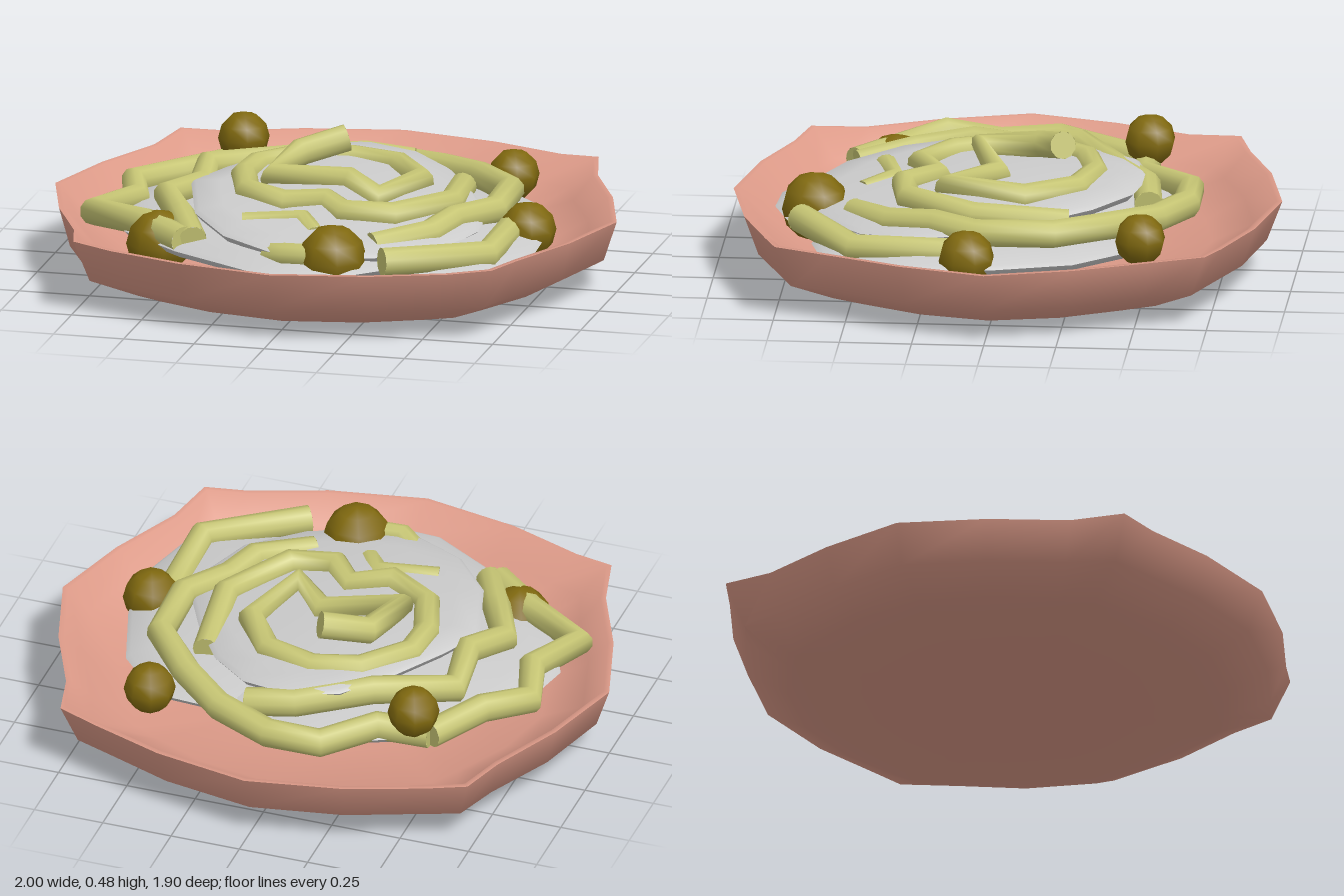
import * as THREE from 'three';
import { toCreasedNormals } from 'three/addons/utils/BufferGeometryUtils.js';

const mat = (color, side = THREE.FrontSide) => new THREE.MeshStandardMaterial({ color, side });
const PLATE = mat(0xdc9a88), SAUCE = mat(0xcccccc), OLIVE = mat(0x80690f);
const NOODLE = mat(0xc6c574, THREE.DoubleSide);

// Closed skin through rings of equal length, running from the bottom centre out, up and back in.
function loft(rings) {
  const n = rings[0].length, index = [];
  for (let r = 0; r < rings.length - 1; r++) {
    for (let j = 0; j < n; j++) {
      const a = r * n + j, b = r * n + (j + 1) % n;
      index.push(a, a + n, b, b, a + n, b + n);
    }
  }
  const g = new THREE.BufferGeometry();
  g.setAttribute('position', new THREE.Float32BufferAttribute(rings.flat(2), 3));
  g.setIndex(index);
  return toCreasedNormals(g, 1.0);
}

function add(group, name, geometry, material) {
  const m = new THREE.Mesh(geometry, material);
  m.name = name;
  group.add(m);
  return m;
}

// Plate outline: one quadrant, mirrored round, with pulled corners.
function plateOutline() {
  const q = [[1, 0], [0.91, 0.3], [0.79, 0.56], [0.745, 0.745], [0.6, 0.79], [0.34, 0.885], [0, 0.95]];
  return [
    ...q,
    ...q.slice(0, 6).reverse().map(([x, z]) => [-x, z]),
    ...q.slice(1).map(([x, z]) => [-x, -z]),
    ...q.slice(1, 6).reverse().map(([x, z]) => [x, -z]),
  ];
}

function plateGeometry() {
  const outline = plateOutline();
  // scale, height, share of the pulled corners
  const profile = [[0, 0, 0], [0.44, 0, 0], [0.8, 0.03, 0.4], [0.95, 0.11, 0.8], [1, 0.25, 1],
    [0.98, 0.25, 1], [0.9, 0.17, 0.8], [0.76, 0.1, 0.4], [0.45, 0.07, 0], [0, 0.07, 0]];
  return loft(profile.map(([s, y, w]) => outline.map(([x, z]) => {
    const a = Math.atan2(z / 0.95, x);
    const corner = Math.abs(x * z) > 0.5 && y > 0.2 ? 0.012 : 0;
    return [
      s * THREE.MathUtils.lerp(0.97 * Math.cos(a), x, w) * (w < 1 ? 1.01 : 1),
      y + corner,
      s * THREE.MathUtils.lerp(0.92 * Math.sin(a), z, w),
    ];
  })));
}

// Flat tilted mound of sauce around a centre, edge given as x, z points.
function moundGeometry(edge, [cx, cy, cz], rise, tiltX, tiltZ) {
  const profile = [[0, -0.06], [0.8, -0.05], [0.96, -0.025], [1, 0], [0.97, 0.012],
    [0.8, rise * 0.5], [0.45, rise * 0.9], [0, rise]];
  return loft(profile.map(([s, y]) => edge.map(([x, z]) => {
    const dx = s * (x - cx), dz = s * (z - cz);
    return [cx + dx, cy + y + dx * tiltX + dz * tiltZ, cz + dz];
  })));
}

// Straight-sided path whose corners are kept as tube rings.
class Polyline extends THREE.Curve {
  constructor(points) {
    super();
    this.points = points.map(p => new THREE.Vector3(...p));
  }
  getPoint(t, target = new THREE.Vector3()) {
    const f = t * (this.points.length - 1);
    const i = Math.min(Math.floor(f + 1e-6), this.points.length - 2);
    return target.lerpVectors(this.points[i], this.points[i + 1], f - i);
  }
  getPointAt(t, target) { return this.getPoint(t, target); }
  getTangentAt(t, target = new THREE.Vector3()) {
    const p = this.points, i = Math.round(t * (p.length - 1));
    const dir = k => p[k + 1].clone().sub(p[k]).normalize();
    const before = dir(Math.max(i - 1, 0)), after = dir(Math.min(i, p.length - 2));
    return target.copy(before).add(after).normalize();
  }
}

function addNoodle(parent, name, points, radius = 0.05) {
  const group = new THREE.Group();
  group.name = name;
  const path = new Polyline(points);
  add(group, name + 'Strand', new THREE.TubeGeometry(path, points.length - 1, radius, 10), NOODLE);
  for (const t of [0, 1]) {
    const cap = add(group, name + 'End', new THREE.CircleGeometry(radius, 10), NOODLE);
    const out = path.getTangentAt(t).multiplyScalar(t ? 1 : -1);
    cap.position.copy(path.getPointAt(t));
    cap.quaternion.setFromUnitVectors(new THREE.Vector3(0, 0, 1), out);
  }
  parent.add(group);
}

export function createModel() {
  const model = new THREE.Group();
  model.name = 'pastaPlate';
  add(model, 'plate', plateGeometry(), PLATE);

  // Sauce: two low mounds under a tilted upper one
  add(model, 'rightSauce', moundGeometry([[0.76, 0], [0.78, 0.28], [0.7, 0.58], [0.48, 0.64], [0.1, 0.6],
    [-0.3, 0.4], [-0.4, 0], [-0.2, -0.35], [0.2, -0.48], [0.5, -0.46], [0.67, -0.28]],
  [0.25, 0.2, 0.1], 0.07, 0, 0), SAUCE);
  add(model, 'leftSauce', moundGeometry([[0.55, 0.1], [0.5, 0.5], [0.25, 0.74], [0.07, 0.8], [-0.1, 0.79],
    [-0.42, 0.6], [-0.65, 0.4], [-0.78, 0.12], [-0.72, -0.15], [-0.5, -0.42], [-0.18, -0.56],
    [0.1, -0.53], [0.4, -0.3]], [-0.1, 0.21, 0.1], 0.07, 0, 0), SAUCE);
  add(model, 'upperSauce', moundGeometry([[0.56, 0.08], [0.57, 0.25], [0.5, 0.47], [0.33, 0.62], [0.15, 0.69],
    [-0.05, 0.7], [-0.25, 0.59], [-0.4, 0.4], [-0.49, 0.1], [-0.42, -0.06], [-0.3, -0.27], [-0.17, -0.44],
    [0, -0.49], [0.18, -0.45], [0.33, -0.32], [0.46, -0.12]],
  [0.03, 0.29, 0.1], 0.045, -0.05, -0.06), SAUCE);

  // Noodles
  addNoodle(model, 'spiralNoodle', [[0.39, 0.27, -0.24], [0.43, 0.3, 0.08], [0.28, 0.31, 0.32],
    [0.12, 0.315, 0.35], [0.03, 0.32, 0.24], [-0.1, 0.325, 0.31], [-0.26, 0.325, 0.21], [-0.32, 0.33, 0.03],
    [-0.31, 0.33, -0.11], [-0.18, 0.33, -0.26], [-0.02, 0.325, -0.3], [0.16, 0.325, -0.25],
    [0.28, 0.325, -0.08], [0.2, 0.33, 0.19], [0.06, 0.34, 0.03], [-0.2, 0.36, 0.11],
    [-0.155, 0.39, -0.11], [-0.01, 0.43, -0.19]], 0.048);
  addNoodle(model, 'backNoodle', [[-0.5, 0.24, -0.44], [-0.31, 0.24, -0.45], [-0.16, 0.24, -0.62],
    [0.03, 0.24, -0.62], [0.24, 0.25, -0.53], [0.41, 0.27, -0.39], [0.57, 0.28, -0.2], [0.58, 0.28, 0.06],
    [0.47, 0.28, 0.21], [0.43, 0.27, 0.37], [0.26, 0.25, 0.51]]);
  addNoodle(model, 'leftNoodle', [[-0.5, 0.24, -0.44], [-0.62, 0.25, -0.24], [-0.75, 0.24, -0.12],
    [-0.69, 0.24, 0.08], [-0.79, 0.24, 0.28], [-0.58, 0.25, 0.4], [-0.4, 0.24, 0.56]]);
  addNoodle(model, 'innerLeftNoodle', [[0.15, 0.27, -0.5], [-0.02, 0.29, -0.48], [-0.25, 0.3, -0.33],
    [-0.51, 0.29, -0.21], [-0.47, 0.29, 0.03], [-0.56, 0.28, 0.16], [-0.46, 0.27, 0.36], [-0.37, 0.24, 0.55]]);
  addNoodle(model, 'frontRightNoodle', [[0.65, 0.23, 0.12], [0.66, 0.24, 0.48], [0.34, 0.25, 0.69]]);
  addNoodle(model, 'frontNoodle', [[0.2, 0.25, 0.68], [0, 0.25, 0.69], [-0.07, 0.23, 0.64]], 0.045);
  addNoodle(model, 'shortNoodle', [[-0.22, 0.275, 0.44], [-0.02, 0.285, 0.39], [0.05, 0.26, 0.49]], 0.045);

  // Olives: x, y, z, radius
  for (const [x, y, z, r] of [[-0.445, 0.33, -0.455, 0.09], [0.505, 0.25, -0.5, 0.09],
    [0.705, 0.225, 0.085, 0.1], [0.155, 0.24, 0.655, 0.12], [-0.52, 0.19, 0.43, 0.115]]) {
    const olive = add(model, 'olive', new THREE.SphereGeometry(r, 8, 6), OLIVE);
    olive.position.set(x, y, z);
    olive.rotation.y = Math.PI / 8;
  }
  return model;
}
